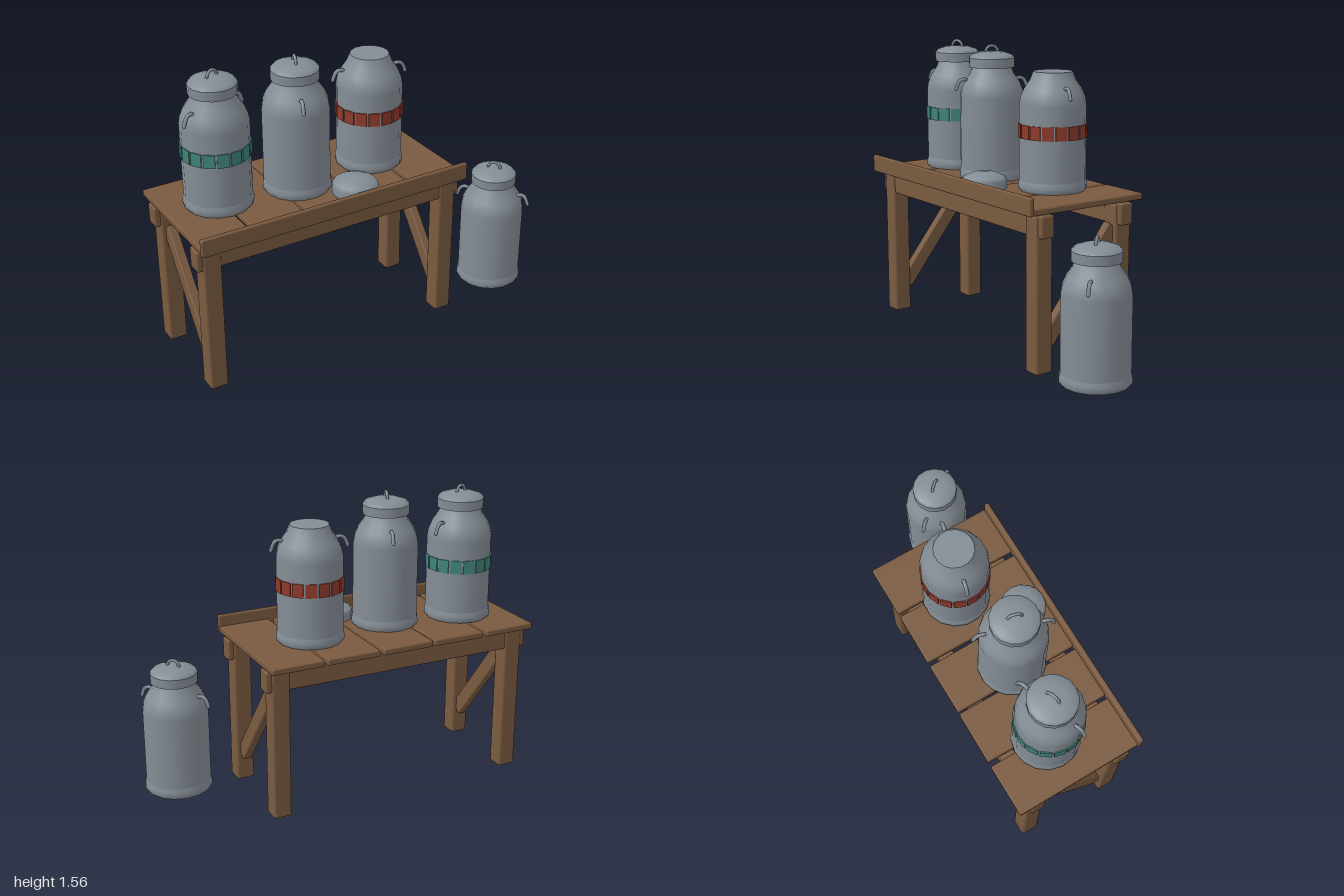
import * as THREE from 'three';
import { RoundedBoxGeometry } from 'three/addons/geometries/RoundedBoxGeometry.js';

const mat = (name, color) => {
  const m = new THREE.MeshStandardMaterial({ color });
  m.name = name;
  return m;
};

export function createModel() {
  const wood = mat('wood', 0x7a5a40);
  const steel = mat('steel', 0x848d95);
  const green = mat('green paint', 0x3f8478);
  const red = mat('red paint', 0x8f3a2b);
  const model = new THREE.Group();
  model.name = 'milkCanBench';

  const add = (parent, name, geo, material, x = 0, y = 0, z = 0) => {
    const mesh = new THREE.Mesh(geo, material);
    mesh.name = name;
    mesh.position.set(x, y, z);
    parent.add(mesh);
    return mesh;
  };

  // ---- Bench ----
  const bench = new THREE.Group();
  bench.name = 'bench';
  model.add(bench);
  const beam = (name, w, h, d, x, y, z, bevel = 0.009) =>
    add(bench, name, new RoundedBoxGeometry(w, h, d, 1, bevel), wood, x, y, z);

  // Table top planks: [left edge, right edge, slight turn]
  [[-0.995, -0.712, 0.006], [-0.69, -0.403, -0.006], [-0.389, -0.105, 0.008],
    [-0.088, 0.202, -0.008], [0.224, 0.506, 0.005]].forEach(([a, b, turn]) => {
    beam('plank', b - a, 0.035, 0.69, (a + b) / 2, 0.833, -0.022).rotation.y = turn;
  });
  beam('frontLip', 1.51, 0.095, 0.026, -0.245, 0.862, 0.332);

  // Long rails with a leg at each end
  for (const z of [0.236, -0.258]) {
    beam('rail', 1.51, 0.115, 0.08, -0.245, 0.754, z, 0.012);
    for (const x of [-0.922, 0.433]) beam('leg', 0.097, 0.8, 0.097, x, 0.405, z, 0.012);
  }

  // Diagonal braces from low on the front legs to high on the back legs
  for (const x of [-0.922, 0.433]) {
    const dy = 0.51, dz = -0.4;
    const brace = beam('brace', 0.05, Math.hypot(dy, dz) + 0.03, 0.083, x, 0.42, -0.012);
    brace.rotation.x = Math.atan2(dz, dy);
  }

  // ---- Cans ----
  // A repeated point in a profile makes a sharp edge
  const lathe = (pts) => new THREE.LatheGeometry(pts.map(([r, y]) => new THREE.Vector2(r, y)), 16);
  const bodyGeo = lathe([[0, 0], [0.168, 0], [0.168, 0], [0.177, 0.012], [0.177, 0.034], [0.171, 0.055],
    [0.171, 0.055], [0.171, 0.44], [0.164, 0.478], [0.147, 0.518], [0.117, 0.562], [0.1, 0.605],
    [0.1, 0.605], [0, 0.605]]);
  const lidGeo = lathe([[0.095, 0.594], [0.121, 0.594], [0.121, 0.594], [0.122, 0.643], [0.122, 0.643],
    [0.108, 0.66], [0.063, 0.674], [0, 0.677]]);
  const looseLidGeo = lathe([[0, 0], [0.118, 0], [0.118, 0], [0.118, 0.042], [0.108, 0.058],
    [0.065, 0.078], [0, 0.085]]);
  const rod = (pts, radius) => new THREE.TubeGeometry(
    new THREE.CatmullRomCurve3(pts.map(([x, y]) => new THREE.Vector3(x, y, 0))), 10, radius, 6);
  const sideGeo = rod([[0.1, 0.5], [0.13, 0.522], [0.152, 0.533], [0.176, 0.526], [0.189, 0.505], [0.197, 0.482]], 0.01);
  const knobGeo = rod([[-0.036, 0.66], [-0.03, 0.688], [-0.014, 0.704], [0.014, 0.704], [0.03, 0.688], [0.036, 0.66]], 0.008);
  const tipGeo = new THREE.SphereGeometry(0.01, 6, 4);
  const patchGeo = new THREE.BoxGeometry(0.058, 0.07, 0.009);

  function can(x, y, z, yaw, hasLid, paint) {
    const g = new THREE.Group();
    g.name = 'can';
    g.position.set(x, y, z);
    g.rotation.y = yaw;
    model.add(g);
    add(g, 'canBody', bodyGeo, steel);

    // Two hooked side handles
    for (const turn of [0, Math.PI]) {
      const handle = new THREE.Group();
      handle.name = 'sideHandle';
      handle.rotation.y = turn;
      add(handle, 'handleRod', sideGeo, steel);
      add(handle, 'handleTip', tipGeo, steel, 0.197, 0.482, 0);
      g.add(handle);
    }
    if (hasLid) {
      add(g, 'lid', lidGeo, steel);
      add(g, 'lidHandle', knobGeo, steel);
    }
    // Painted band of separate patches, one on each facet
    if (paint) {
      for (let i = 0; i < 16; i++) {
        const a = (i + 0.5) * Math.PI / 8, r = 0.1695;
        add(g, 'bandPatch', patchGeo, paint, Math.sin(a) * r, 0.308, Math.cos(a) * r).rotation.y = a;
      }
    }
  }
  can(-0.72, 0.85, -0.052, 0.35, true, green);
  can(-0.304, 0.85, 0.0, 1.27, true, null);
  can(0.158, 0.85, -0.056, -0.2, false, red);
  can(0.815, 0.055, 0.186, -0.88, true, null);

  // Lid taken off the open can
  add(model, 'looseLid', looseLidGeo, steel, -0.083, 0.85, 0.203);

  return model;
}
